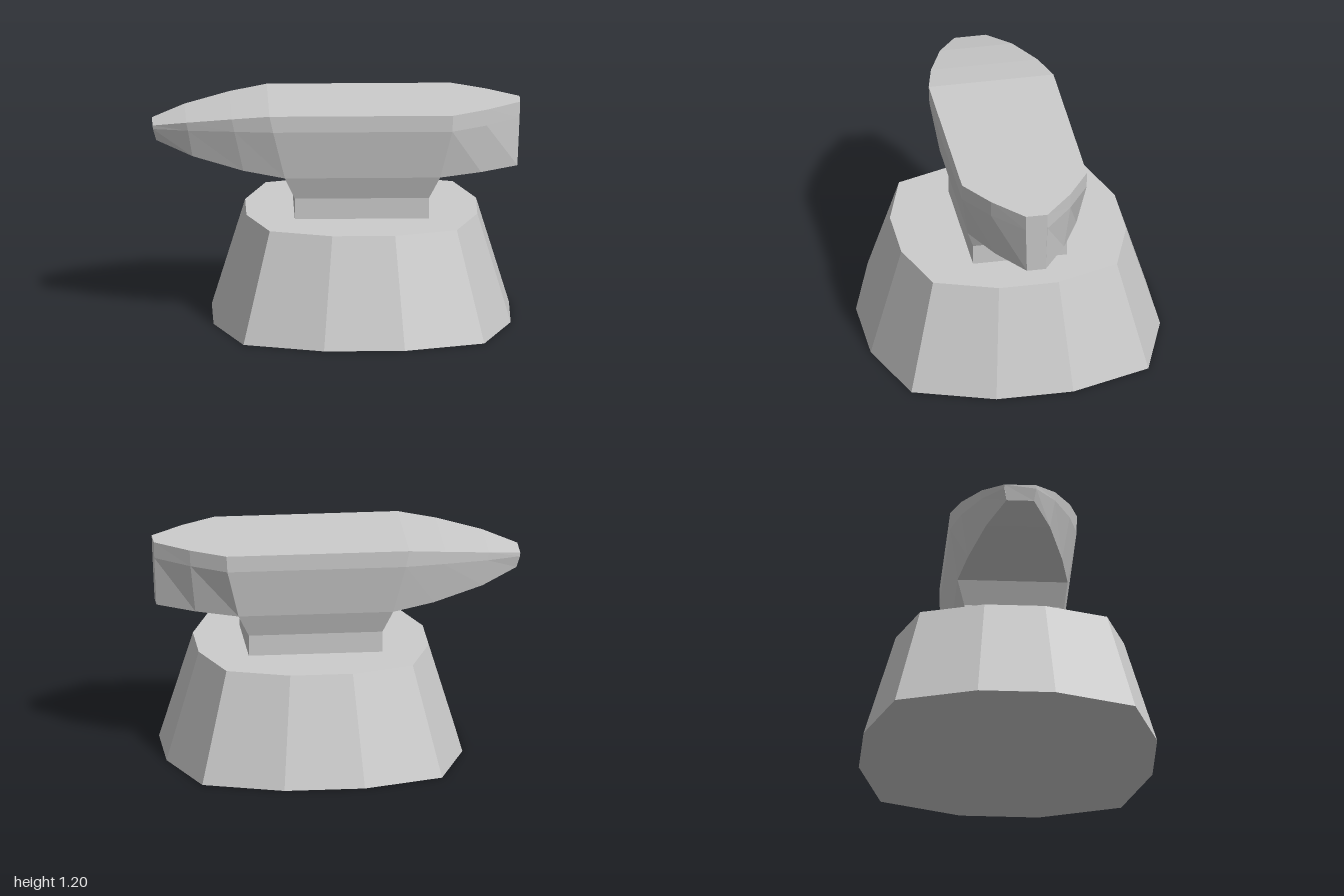
import * as THREE from 'three';

const material = new THREE.MeshStandardMaterial({ color: 0xcccccc, flatShading: true });

// Skins a list of equal-length rings (counter-clockwise seen from the last ring) and caps both ends.
function loft(name, rings) {
  const pos = [];
  const n = rings[0].length;
  const tri = (a, b, c) => pos.push(...a, ...b, ...c);
  for (let r = 0; r < rings.length - 1; r++) {
    const a = rings[r], b = rings[r + 1];
    for (let i = 0; i < n; i++) {
      const j = (i + 1) % n;
      tri(a[i], a[j], b[j]);
      tri(a[i], b[j], b[i]);
    }
  }
  const first = rings[0], last = rings[rings.length - 1];
  for (let i = 1; i < n - 1; i++) {
    tri(first[0], first[i + 1], first[i]);
    tri(last[0], last[i], last[i + 1]);
  }
  const geo = new THREE.BufferGeometry();
  geo.setAttribute('position', new THREE.Float32BufferAttribute(pos, 3));
  geo.computeVertexNormals();
  const mesh = new THREE.Mesh(geo, material);
  mesh.name = name;
  return mesh;
}

export function createModel() {
  const group = new THREE.Group();
  group.name = 'anvilOnStump';

  // Ten-sided tapered stump, slightly off centre
  const cx = 0.137;
  const quarter = [[0.808, 0.213], [0.655, 0.655], [0.22, 0.8]];
  const outline = [
    ...quarter.map(([x, z]) => [x, -z]),
    ...quarter.slice().reverse().map(([x, z]) => [-x, -z]),
    ...quarter.map(([x, z]) => [-x, z]),
    ...quarter.slice().reverse().map(([x, z]) => [x, z]),
  ];
  const stumpRing = (s, y) => outline.map(([x, z]) => [cx + x * s, y, z * s]);
  group.add(loft('stump', [stumpRing(1, 0), stumpRing(0.777, 0.6)]));

  // Waist: straight foot flaring out to the underside of the body
  const rect = (y, x0, x1, z) => [[x1, y, z], [x1, y, -z], [x0, y, -z], [x0, y, z]];
  group.add(loft('waist', [
    rect(0.6, -0.23, 0.5, 0.26),
    rect(0.715, -0.23, 0.5, 0.26),
    rect(0.84, -0.285, 0.56, 0.3),
  ]));

  // Body from horn tip to heel: [x, y] of top, middle and bottom, then half widths of top and bottom
  const sections = [
    [-1, 1.085, -0.998, 1.065, -0.98, 1.0, 0.087, 0.075],
    [-0.82, 1.13, -0.81, 1.085, -0.785, 0.935, 0.2, 0.175],
    [-0.575, 1.173, -0.56, 1.103, -0.51, 0.873, 0.295, 0.257],
    [-0.37, 1.2, -0.35, 1.11, -0.285, 0.84, 0.345, 0.3],
    [0.63, 1.2, 0.625, 1.11, 0.56, 0.84, 0.345, 0.3],
    [0.82, 1.2, 0.815, 1.11, 0.785, 0.84, 0.22, 0.19],
    [1, 1.2, 0.997, 1.11, 0.985, 0.84, 0.06, 0.052],
  ];
  group.add(loft('hornBodyAndHeel', sections.map(([xt, yt, xm, ym, xb, yb, zt, zb]) => [
    [xt, yt, -zt], [xt, yt, zt], [xm, ym, zt],
    [xb, yb, zb], [xb, yb, -zb], [xm, ym, -zt],
  ])));

  return group;
}
